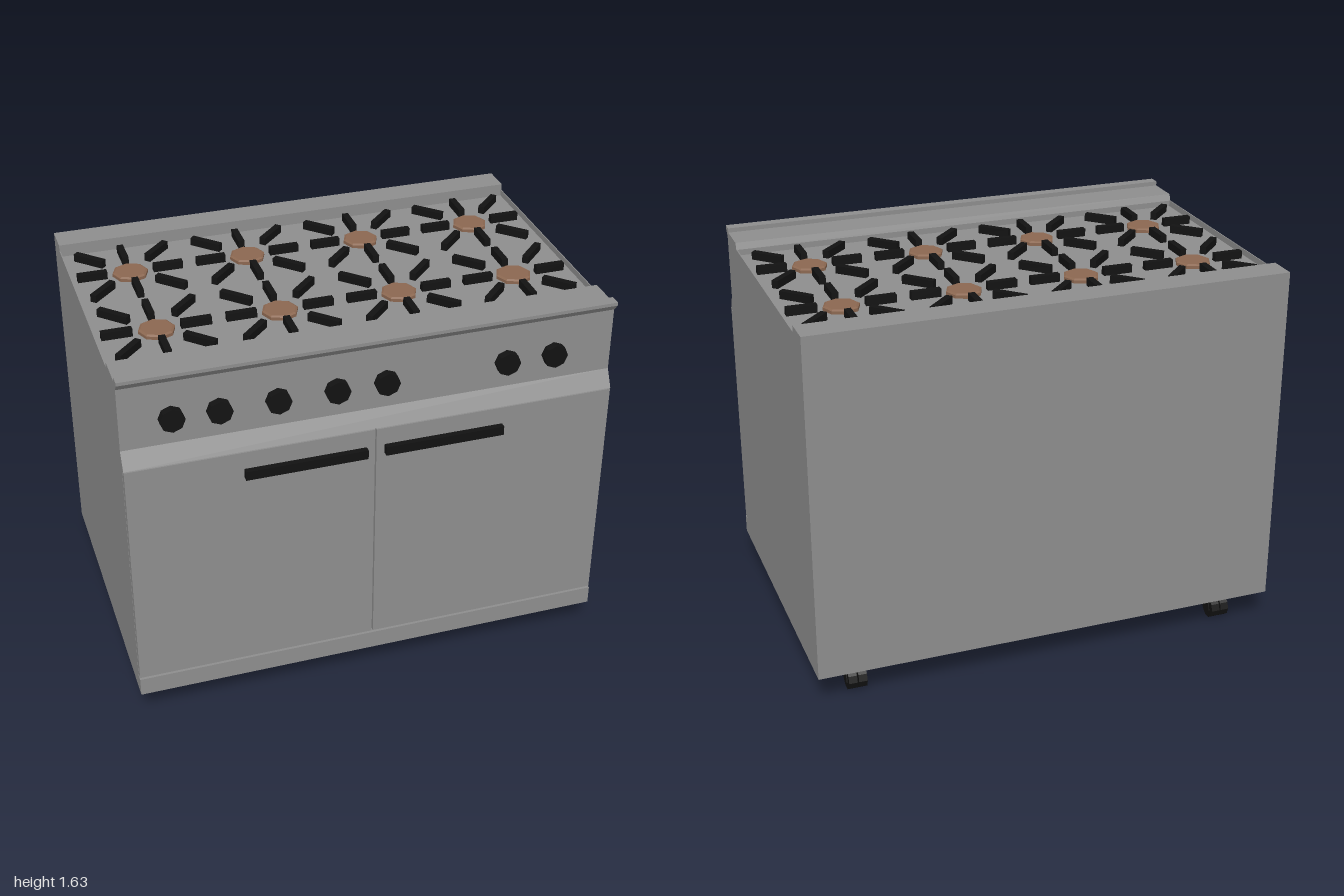
import * as THREE from 'three';

const steel = new THREE.MeshStandardMaterial({ color: 0x8d8d8d, flatShading: true });
const black = new THREE.MeshStandardMaterial({ color: 0x121212, flatShading: true });
const copper = new THREE.MeshStandardMaterial({ color: 0x8b6750, flatShading: true });

function add(parent, name, geometry, material, x = 0, y = 0, z = 0) {
  const mesh = new THREE.Mesh(geometry, material);
  mesh.name = name;
  mesh.position.set(x, y, z);
  parent.add(mesh);
  return mesh;
}

// Box given by its minimum and maximum corners
function addBox(parent, name, material, [x0, y0, z0], [x1, y1, z1]) {
  return add(parent, name, new THREE.BoxGeometry(x1 - x0, y1 - y0, z1 - z0), material,
    (x0 + x1) / 2, (y0 + y1) / 2, (z0 + z1) / 2);
}

// Side outline of [z, y] points, extruded along x and centred on x = 0
function sideExtrude(points, width) {
  const shape = new THREE.Shape(points.map(([z, y]) => new THREE.Vector2(-z, y)));
  const geometry = new THREE.ExtrudeGeometry(shape, { depth: width, bevelEnabled: false });
  geometry.translate(0, 0, -width / 2);
  return geometry.rotateY(Math.PI / 2);
}

// Swivel caster: round mounting plate, two fork cheeks, axle and twin wheels
function makeCaster(x, z) {
  const caster = new THREE.Group();
  caster.name = 'caster';
  caster.position.set(x, 0, z);
  add(caster, 'casterPlate', new THREE.CylinderGeometry(0.061, 0.061, 0.02, 12), black, 0, 0.132, 0);
  const cheek = sideExtrude([[0.035, 0.124], [-0.034, 0.124], [-0.045, 0.09], [-0.06, 0.04], [-0.025, 0.035]], 0.006);
  const wheel = new THREE.CylinderGeometry(0.048, 0.048, 0.036, 10).rotateZ(Math.PI / 2);
  for (const s of [-1, 1]) {
    add(caster, 'forkCheek', cheek, black, s * 0.04, 0, 0);
    add(caster, 'wheel', wheel, black, s * 0.021, 0.048, -0.037);
  }
  add(caster, 'axle', new THREE.CylinderGeometry(0.012, 0.012, 0.086, 8).rotateZ(Math.PI / 2),
    black, 0, 0.048, -0.037);
  return caster;
}

// Burner cap with eight grate bars around it, standing on the hob floor
function makeBurner(x, z) {
  const burner = new THREE.Group();
  burner.name = 'burner';
  burner.position.set(x, 1.56, z);
  const profile = [[0.074, -0.004], [0.074, 0.013], [0.065, 0.018], [0, 0.018]]
    .map(([r, y]) => new THREE.Vector2(r, y));
  add(burner, 'burnerCap', new THREE.LatheGeometry(profile, 8), copper);
  for (let i = 0; i < 8; i++) {
    const [inner, outer] = i % 2 ? [0.13, 0.27] : i % 4 ? [0.09, 0.21] : [0.097, 0.22];
    const bar = new THREE.BoxGeometry(outer - inner, 0.036, 0.027);
    bar.translate((inner + outer) / 2, 0.015, 0);
    add(burner, 'grateBar', bar, black).rotation.y = i * Math.PI / 4;
  }
  return burner;
}

export function createModel() {
  const range = new THREE.Group();
  range.name = 'cookingRange';

  // Cabinet with sunken hob, raised rims, flared front lip and a recess for the doors
  const outline = [
    [-0.67, 0.142], [0.653, 0.142], [0.653, 0.222], [0.62, 0.222], [0.62, 1.247],
    [0.648, 1.247], [0.61, 1.318], [0.61, 1.588], [0.635, 1.618], [0.635, 1.632],
    [0.588, 1.632], [0.588, 1.613], [0.445, 1.613], [0.435, 1.585], [0.435, 1.56],
    [-0.547, 1.56], [-0.547, 1.613], [-0.67, 1.613],
  ];
  add(range, 'cabinet', sideExtrude(outline, 2), steel);

  for (const s of [-1, 1]) {
    // Thin side edge of the hob
    const [e, f] = [s * 0.996, s].sort((p, q) => p - q);
    addBox(range, 'hobSideEdge', steel, [e, 1.56, -0.547], [f, 1.586, 0.435]);

    // Door with its bar handle
    const door = new THREE.Group();
    door.name = s > 0 ? 'leftDoor' : 'rightDoor';
    const [a, b] = [s * 0.003, s * 0.999].sort((p, q) => p - q);
    addBox(door, 'doorPanel', steel, [a, 0.228, 0.61], [b, 1.242, 0.648]);
    const [c, d] = [s * 0.037, s * 0.533].sort((p, q) => p - q);
    addBox(door, 'doorHandle', black, [c, 1.127, 0.64], [d, 1.167, 0.672]);
    range.add(door);
  }

  // Control knobs
  const knob = new THREE.CylinderGeometry(0.05, 0.05, 0.045, 8).rotateX(Math.PI / 2);
  for (const x of [-0.8, -0.615, -0.385, -0.15, 0.05, 0.55, 0.75]) {
    add(range, 'knob', knob, black, x, 1.433, 0.62);
  }

  // Two rows of four burners
  for (const z of [-0.307, 0.185]) {
    for (const x of [-0.75, -0.25, 0.25, 0.75]) range.add(makeBurner(x, z));
  }

  // Casters at the four corners
  for (const x of [-0.82, 0.82]) {
    for (const z of [-0.52, 0.512]) range.add(makeCaster(x, z));
  }
  return range;
}
